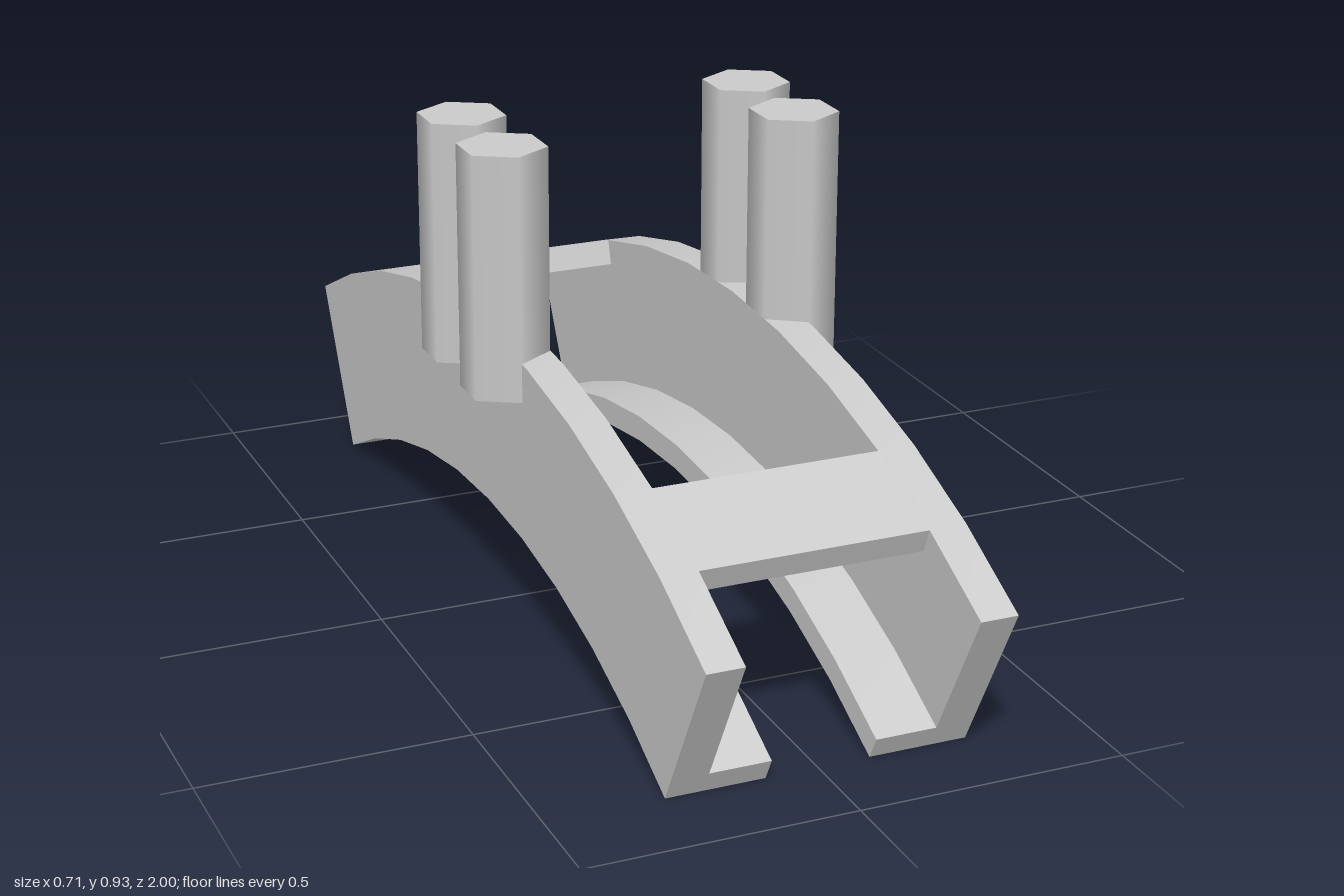
import * as THREE from 'three';
import { toCreasedNormals } from 'three/addons/utils/BufferGeometryUtils.js';

const CENTRE_Y = -1.57;              // centre of the arch circles
const STEP = Math.asin(1 / 2.125) / 5; // one of the ten arch facets
const OUTER = 2.125, INNER = 1.78;

const material = new THREE.MeshStandardMaterial({ color: 0xcccccc });

// Curved bar between two radii, from facet line a to b, spanning x0..x1
function arcBar(name, rIn, rOut, a, b, x0, x1) {
  const pts = [];
  const add = (r, i) => pts.push(new THREE.Vector2(-r * Math.sin(i * STEP), CENTRE_Y + r * Math.cos(i * STEP)));
  for (let i = a; i <= b; i++) add(rOut, i);
  for (let i = b; i >= a; i--) add(rIn, i);
  let geo = new THREE.ExtrudeGeometry(new THREE.Shape(pts), { depth: x1 - x0, bevelEnabled: false });
  geo.rotateY(Math.PI / 2);
  geo.translate(x0, 0, 0);
  geo = toCreasedNormals(geo, Math.PI / 6);
  const mesh = new THREE.Mesh(geo, material);
  mesh.name = name;
  return mesh;
}

export function createModel() {
  const group = new THREE.Group();
  group.name = 'archedFrame';

  for (const [side, s] of [['left', 1], ['right', -1]]) {
    const span = (lo, hi) => (s > 0 ? [lo, hi] : [-hi, -lo]);

    // Arched side wall and the flange along its lower edge
    group.add(arcBar(side + 'Wall', INNER, OUTER, -5, 5, ...span(0.213, 0.283)));
    group.add(arcBar(side + 'Flange', INNER, 1.83, -5, 5, ...span(0.098, 0.213)));

    // Pair of hexagonal posts
    for (const [end, e] of [['Front', 1], ['Back', -1]]) {
      const post = new THREE.Mesh(new THREE.CylinderGeometry(0.083, 0.083, 0.46, 6), material);
      post.position.set(s * 0.285, 0.702, e * 0.105);
      post.name = side + end + 'Post';
      group.add(post);
    }
  }

  // Cross plates joining the walls near each end, flush with the top
  group.add(arcBar('frontCrossPlate', 2.075, OUTER, 3, 4, -0.213, 0.213));
  group.add(arcBar('backCrossPlate', 2.075, OUTER, -4, -3, -0.213, 0.213));

  return group;
}
